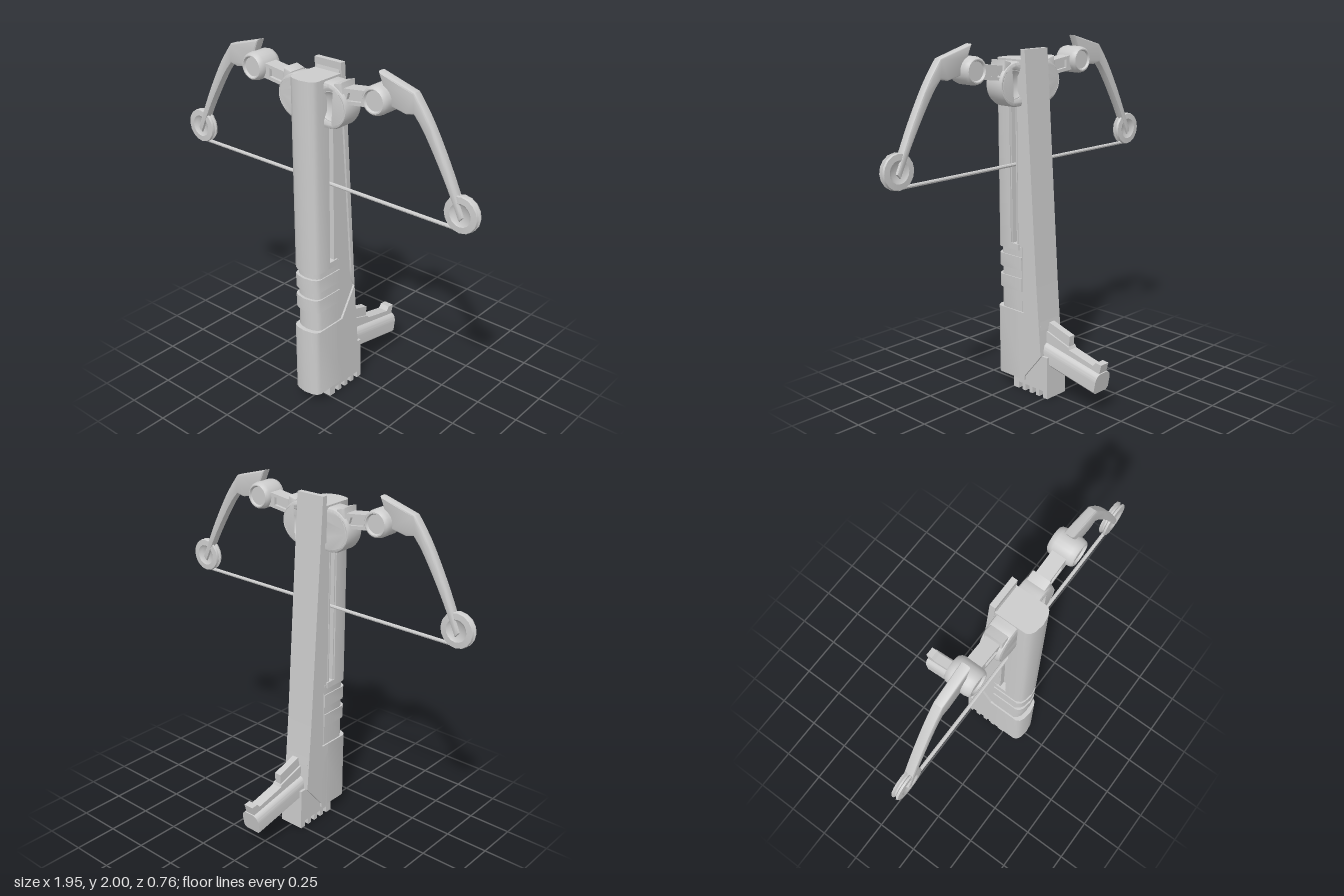
import * as THREE from 'three';
import { toCreasedNormals } from 'three/addons/utils/BufferGeometryUtils.js';

const ZC = 0.225; // depth of the bow plane
const material = new THREE.MeshStandardMaterial({ color: 0xcccccc });

export function createModel() {
  const model = new THREE.Group();
  const add = (name, geometry, parent = model) => {
    const mesh = new THREE.Mesh(toCreasedNormals(geometry, 0.6), material);
    mesh.name = name;
    parent.add(mesh);
    return mesh;
  };
  const shapeOf = (pts) => new THREE.Shape(pts.map(([x, y]) => new THREE.Vector2(x, y)));
  // Extrusion along z, centred on depth z, with an optional inward bevel
  const slab = (shape, depth, z = 0, bevel = 0) => {
    const g = new THREE.ExtrudeGeometry(shape, {
      depth: depth - 2 * bevel, curveSegments: 16, bevelEnabled: bevel > 0,
      bevelSize: bevel, bevelThickness: bevel, bevelOffset: -bevel, bevelSegments: 2,
    });
    return g.translate(0, 0, z - depth / 2 + bevel);
  };
  // Side profile of [z, y] points, extruded across x
  const side = (pts, halfWidth) => slab(shapeOf(pts), halfWidth * 2).rotateY(-Math.PI / 2);
  // Plan section of [x, z] points, extruded up y
  const plan = (pts, y0, y1) => slab(shapeOf(pts.map(([x, z]) => [x, -z])), y1 - y0)
    .rotateX(-Math.PI / 2).translate(0, (y0 + y1) / 2, 0);
  const box = (w, h, d, x, y, z) => new THREE.BoxGeometry(w, h, d).translate(x, y, z);
  // Turned part about z; half profile [r, h] running from rim to centre, mirrored in depth
  const turned = (half, sides, x, y) => {
    const back = half.map(([r, h]) => [r, -h]).reverse();
    const pts = [...back, ...half].map(([r, h]) => new THREE.Vector2(r, h));
    return new THREE.LatheGeometry(pts, sides).rotateX(Math.PI / 2).translate(x, y, ZC);
  };
  // Column section with a softly pointed front
  const column = (w, back, front) => [
    [-w, back], [-w, front - 0.04], [-w + 0.012, front - 0.02], [-w + 0.035, front - 0.008],
    [0, front], [w - 0.035, front - 0.008], [w - 0.012, front - 0.02], [w, front - 0.04], [w, back],
  ];

  // Barrel, with an open slot behind it for the string
  add('barrel', plan(column(0.085, 0.25, 0.37), 0.84, 1.9));
  add('barrelFoot', plan([[-0.085, 0.19], [-0.085, 0.26], [0.085, 0.26], [0.085, 0.19]], 0.84, 0.875));
  add('barrelHead', box(0.17, 0.2, 0.13, 0, 1.8, 0.195));
  add('slotCore', box(0.09, 1.1, 0.08, 0, 1.33, 0.225));
  for (const z of [0.206, 0.247]) add('slotRail', box(0.155, 1.0, 0.008, 0, 1.37, z));
  add('innerTube', plan(column(0.078, 0.17, 0.355), 0.4, 0.86));
  for (const y of [0.6, 0.725]) add('barrelBand', plan(column(0.084, 0.17, 0.37), y, y + 0.077));

  // Tapered stock and its wider back plate
  add('stock', side([[0.2, 0.4], [0.2, 1.7], [0.155, 1.93], [0.13, 1.93], [0.055, 0.65], [0.03, 0.4]], 0.075));
  add('backPlate', side([[0.16, 1.955], [0.128, 1.955], [0.05, 0.65], [0.075, 0.7], [0.08, 0.79]], 0.087));

  // Lower housing: rounded front and angled rear
  add('housing', plan(column(0.087, 0.15, 0.38), 0.07, 0.48));
  add('housingRear', side([[0.2, 0.07], [0.17, 0.07], [0.02, 0.25], [0.05, 0.65], [0.155, 0.48], [0.2, 0.48]], 0.087));

  // Base block with a toothed underside
  const base = [[-0.02, 0.25], [-0.02, 0]];
  for (const z of [0.025, 0.08, 0.135, 0.19]) {
    base.push([z - 0.012, 0], [z - 0.012, 0.04], [z + 0.018, 0.04], [z + 0.018, 0]);
  }
  base.push([0.25, 0], [0.25, 0.25]);
  add('toothedBase', side(base, 0.075));

  // Tilted grip with ridge, rear knob and wedge block
  const grip = new THREE.Group();
  grip.name = 'grip';
  grip.position.y = 0.255;
  grip.rotation.x = -0.19;
  model.add(grip);
  const arch = new THREE.Shape();
  arch.moveTo(-0.045, -0.06).lineTo(0.045, -0.06).lineTo(0.06, -0.045).lineTo(0.06, 0.015);
  arch.quadraticCurveTo(0.055, 0.06, 0.02, 0.06).lineTo(-0.02, 0.06);
  arch.quadraticCurveTo(-0.055, 0.06, -0.06, 0.015).lineTo(-0.06, -0.045);
  add('gripBody', slab(arch, 0.42, -0.158), grip);
  add('gripRidge', side([[0.05, 0.04], [0.05, 0.125], [-0.12, 0.105], [-0.13, 0.092], [-0.31, 0.085],
    [-0.325, 0.11], [-0.365, 0.114], [-0.36, 0.04]], 0.03), grip);
  add('gripWedge', side([[0.05, 0.08], [0.05, 0.18], [-0.11, 0.164], [-0.12, 0.09]], 0.02), grip);

  // Central hub: rounded body with a dished boss on each side
  const hub = new THREE.Shape();
  hub.absarc(0.105, 1.77, 0.12, -Math.PI / 2, Math.PI / 2);
  hub.absarc(-0.105, 1.77, 0.12, Math.PI / 2, Math.PI * 1.5);
  for (const s of [-1, 1]) {
    hub.holes.push(new THREE.Path().absarc(s * 0.125, 1.77, 0.075, 0, Math.PI * 2, true));
  }
  add('hub', slab(hub, 0.125, ZC, 0.018));

  // Bowstring
  add('string', new THREE.CylinderGeometry(0.01, 0.01, 1.76, 8).rotateZ(Math.PI / 2).translate(0, 1.325, ZC));

  for (const s of [1, -1]) {
    const name = s > 0 ? 'left' : 'right';
    const mirror = (pts) => pts.map(([x, y]) => [s * x, y]);
    add(name + 'HubBoss', turned([[0.095, 0.02], [0.09, 0.055], [0.075, 0.055], [0.055, 0.04], [0, 0.034]], 24, s * 0.125, 1.77));

    // Link from hub to hinge: framed plate with a recessed centre
    const link = shapeOf(mirror([[0.19, 1.795], [0.35, 1.815], [0.35, 1.895], [0.19, 1.875]]));
    link.holes.push(new THREE.Path(mirror([[0.21, 1.815], [0.222, 1.86], [0.302, 1.872], [0.302, 1.828]])
      .map(([x, y]) => new THREE.Vector2(x, y))));
    add(name + 'Link', slab(link, 0.08, ZC));
    add(name + 'LinkCore', slab(shapeOf(mirror([[0.2, 1.805], [0.31, 1.82], [0.31, 1.88], [0.2, 1.868]])), 0.045, ZC));
    add(name + 'LinkBracket', slab(shapeOf(mirror([[0.14, 1.8], [0.215, 1.8], [0.195, 1.85], [0.19, 1.905], [0.14, 1.89]])), 0.105, ZC, 0.008));

    // Hinge drum with raised rings
    add(name + 'Hinge', turned([[0.075, 0.045], [0.07, 0.065], [0.062, 0.074], [0.056, 0.074], [0.05, 0.062], [0, 0.062]], 20, s * 0.4, 1.865));

    // Curved, tapering bow arm
    const curve = (pts) => new THREE.SplineCurve(pts.map(([x, y]) => new THREE.Vector2(x, y)))
      .getPoints(12).map((p) => [p.x, p.y]);
    const arm = [
      [0.39, 2.0],
      ...curve([[0.6, 1.94], [0.68, 1.83], [0.76, 1.69], [0.83, 1.55], [0.897, 1.4]]),
      ...curve([[0.875, 1.375], [0.8, 1.525], [0.72, 1.665], [0.65, 1.775], [0.6, 1.835]]),
      [0.555, 1.825], [0.46, 1.845], [0.42, 1.93],
    ];
    add(name + 'Arm', slab(shapeOf(mirror(arm)), 0.052, ZC, 0.01));

    // Grooved pulley wheel
    add(name + 'Wheel', turned([[0.085, 0.004], [0.096, 0.01], [0.092, 0.02], [0.06, 0.022], [0.045, 0.012], [0, 0.01]], 16, s * 0.88, 1.41));
  }
  return model;
}
